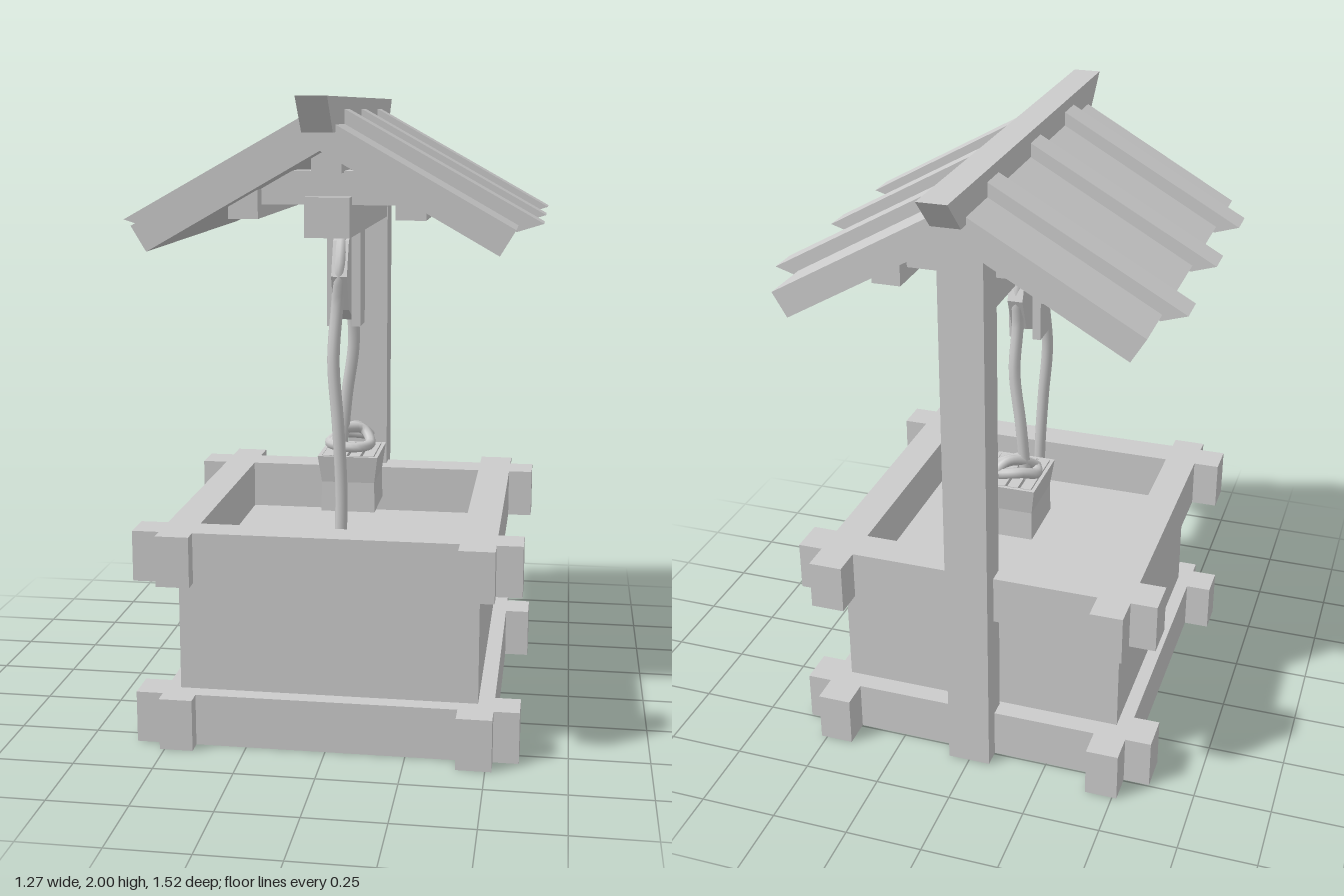
import * as THREE from 'three';

const material = new THREE.MeshStandardMaterial({ color: 0xcccccc, flatShading: true });
const ropeMaterial = new THREE.MeshStandardMaterial({ color: 0xcccccc });

export function createModel() {
  const model = new THREE.Group();

  function add(name, geometry, mat = material) {
    const mesh = new THREE.Mesh(geometry, mat);
    mesh.name = name;
    model.add(mesh);
    return mesh;
  }
  // Box given by its limits on each axis
  function box(name, x0, x1, y0, y1, z0, z1) {
    const g = new THREE.BoxGeometry(x1 - x0, y1 - y0, z1 - z0);
    g.translate((x0 + x1) / 2, (y0 + y1) / 2, (z0 + z1) / 2);
    return add(name, g);
  }
  // Outline in x and y, swept along z
  function prism(name, points, z0, z1) {
    const shape = new THREE.Shape(points.map(([x, y]) => new THREE.Vector2(x, y)));
    const g = new THREE.ExtrudeGeometry(shape, { depth: z1 - z0, bevelEnabled: false });
    g.translate(0, 0, z0);
    return add(name, g);
  }
  function rope(name, points, radius = 0.02) {
    const curve = new THREE.CatmullRomCurve3(points.map((p) => new THREE.Vector3(...p)));
    return add(name, new THREE.TubeGeometry(curve, points.length * 4, radius, 8), ropeMaterial);
  }

  // Well body, recessed between the two log frames
  box('wellBody', -0.47, 0.47, 0.08, 0.53, -0.43, 0.505);

  // Crossed log frames at the bottom and the rim
  for (const [name, y0, y1] of [['baseLog', 0, 0.165], ['rimLog', 0.53, 0.69]]) {
    box(name, 0.41, 0.52, y0, y1, -0.59, 0.63);
    box(name, -0.515, -0.41, y0, y1, -0.59, 0.61);
    box(name, -0.6, 0.6, y0, y1, 0.45, 0.56);
    box(name, -0.6, 0.6, y0, y1, -0.495, -0.375);
  }

  // Single rear post
  box('post', -0.07, 0.07, 0, 1.85, -0.555, -0.44);

  // Two pitched roof panels with three battens on each
  for (const s of [-1, 1]) {
    const mirror = (pts) => pts.map(([x, y]) => [x * s, y]);
    prism('roofPanel', mirror([[0, 1.848], [0.515, 1.555], [0.56, 1.63], [0, 1.947]]), -0.62, 0.615);
    for (const z of [-0.39, 0.015, 0.385]) {
      prism('roofBatten', mirror([[0, 1.93], [0.555, 1.61], [0.635, 1.635], [0, 1.99]]), z - 0.05, z + 0.05);
    }
    // Purlins below the panels
    prism('purlin', mirror([[0.205, 1.645], [0.295, 1.645], [0.295, 1.7], [0.205, 1.75]]), -0.5, 0.5);
  }

  // Ridge beam with slanted ends
  const ridge = prism('ridgeBeam', [[-0.66, 1.9], [0.66, 1.9], [0.76, 2], [-0.76, 2]], -0.045, 0.045);
  ridge.rotation.y = Math.PI / 2;

  // Ties across the roof, short king blocks and the lengthwise pulley beam
  for (const z of [-0.4, 0.4]) {
    prism('roofTie', [[-0.29, 1.685], [0.29, 1.685], [0.11, 1.785], [-0.11, 1.785]], z - 0.045, z + 0.045);
  }
  box('underRidgeBeam', -0.045, 0.045, 1.78, 1.85, -0.5, 0.5);
  box('pulleyBeam', -0.068, 0.068, 1.59, 1.71, -0.46, 0.49);

  // Eight-sided pulley wheel between two hanging plates
  const wheel = new THREE.CylinderGeometry(0.155, 0.155, 0.05, 8);
  wheel.rotateZ(Math.PI / 2);
  wheel.translate(0, 1.45, 0.1);
  add('pulleyWheel', wheel);
  for (const s of [-1, 1]) {
    const c = s * 0.04;
    box('pulleyPlate', c - 0.014, c + 0.014, 1.28, 1.6, 0.05, 0.155);
  }

  // Rope over the wheel, falling on both sides
  rope('wellRope', [
    [0, 0.52, 0.24], [0.005, 0.75, 0.243], [-0.005, 0.98, 0.248], [-0.02, 1.18, 0.243],
    [-0.01, 1.36, 0.225], [0, 1.47, 0.235], [0, 1.57, 0.18], [0, 1.6, 0.1],
    [0, 1.57, 0.02], [0, 1.46, -0.03], [0, 1.36, -0.025], [0.005, 1.2, -0.045],
    [-0.02, 1.02, -0.057], [-0.035, 0.87, -0.06], [-0.04, 0.82, -0.06],
  ]);

  // Loose knot on the bucket
  rope('ropeKnot', [
    [-0.03, 0.9, -0.06], [0.03, 0.89, -0.1], [0.06, 0.85, -0.06], [0.02, 0.845, 0],
    [-0.05, 0.85, -0.01], [-0.08, 0.85, -0.07], [-0.04, 0.87, -0.12], [0.03, 0.865, -0.14],
  ], 0.018);
  rope('ropeEnd', [[-0.07, 0.85, -0.02], [-0.03, 0.89, -0.07], [0.01, 0.9, -0.11], [0.05, 0.86, -0.15]], 0.016);

  // Square bucket with a narrow waist and flared rim
  const rings = [[0.09, 0.64], [0.088, 0.74], [0.1, 0.83], [0.088, 0.83], [0.082, 0.79]];
  const bucketGeometry = new THREE.LatheGeometry(
    [[0, 0.64], ...rings, [0, 0.79]].map(([r, y]) => new THREE.Vector2(r * Math.SQRT2, y)), 4);
  bucketGeometry.rotateY(Math.PI / 4);
  bucketGeometry.scale(1, 1, 1.2);
  bucketGeometry.translate(0, 0, -0.045);
  add('bucket', bucketGeometry);

  // Slats over the bucket
  for (let i = -1.5; i <= 1.5; i++) {
    box('bucketSlat', i * 0.045 - 0.018, i * 0.045 + 0.018, 0.815, 0.832, -0.155, 0.065);
  }

  return model;
}
